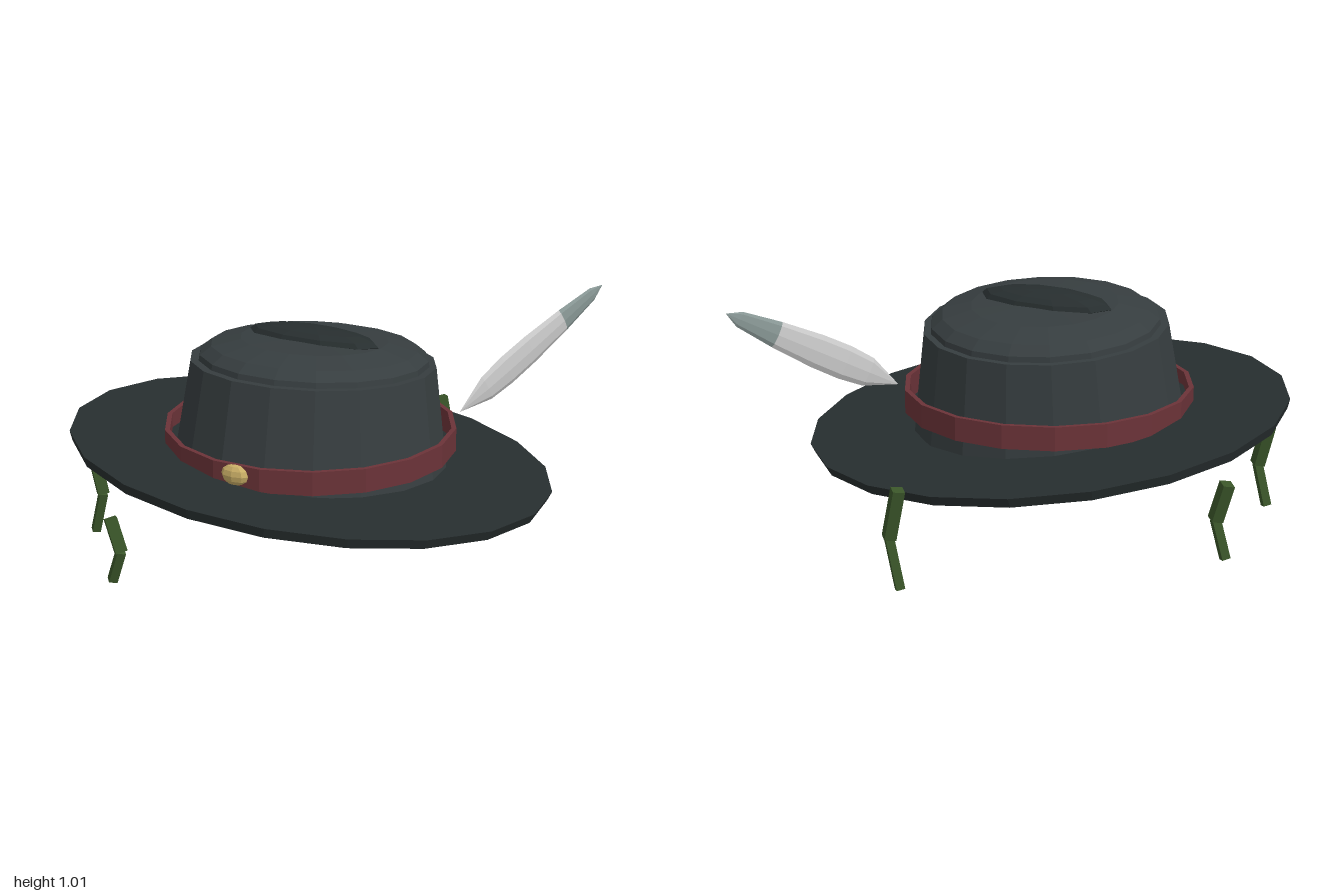
import * as THREE from 'three';

const V = (x, y, z) => new THREE.Vector3(x, y, z);
const paint = (color, side = THREE.FrontSide) =>
  new THREE.MeshStandardMaterial({ color, side, flatShading: true });
const profile = (points) => points.map(([r, y]) => new THREE.Vector2(r, y));

export function createModel() {
  const model = new THREE.Group();
  const felt = paint(0x363d3f);
  const darkFelt = paint(0x272e2f);
  const red = paint(0x6b3338, THREE.DoubleSide);
  const green = paint(0x3a5529);
  const gold = paint(0xc9ae66);
  const white = paint(0xd8d8d4, THREE.DoubleSide);
  const grey = paint(0x8a9997, THREE.DoubleSide);

  function add(name, geometry, material, parent = model) {
    const mesh = new THREE.Mesh(geometry, material);
    mesh.name = name;
    parent.add(mesh);
    return mesh;
  }

  // Tilted oval brim
  const brim = add('brim', new THREE.CylinderGeometry(1, 0.985, 0.04, 20), darkFelt);
  brim.scale.z = 0.95;
  brim.position.set(0, 0.435, 0.04);
  brim.rotation.set(-0.07, 0, -0.09);

  // Crown leaning slightly back, with its domed lid and top crease
  const crown = new THREE.Group();
  crown.name = 'crown';
  crown.position.set(0, 0.425, 0.045);
  crown.rotation.x = -0.07;
  model.add(crown);
  const wall = new THREE.CylinderGeometry(0.5, 0.56, 0.41, 18, 1, false, Math.PI / 2);
  wall.translate(0, 0.205, 0);
  add('crownWall', wall, felt, crown);
  const lid = new THREE.LatheGeometry(profile(
    [[0, 0], [0.47, 0], [0.465, 0.025], [0.42, 0.06], [0.3, 0.09], [0, 0.1]]), 18, Math.PI / 2);
  lid.translate(0, 0.407, -0.005);
  add('crownLid', lid, felt, crown);
  const crease = add('crownCrease', new THREE.SphereGeometry(1, 10, 8), darkFelt, crown);
  crease.scale.set(0.295, 0.05, 0.115);
  crease.position.set(0, 0.5, 0.005);

  // Level ribbon standing clear of the crown
  const ribbon = add('hatBand', new THREE.LatheGeometry(profile(
    [[0.575, 0.482], [0.595, 0.482], [0.595, 0.578], [0.575, 0.578], [0.575, 0.482]]),
    18, Math.PI / 2), red);
  ribbon.position.z = 0.04;

  // Gold stud on the front of the ribbon
  const stud = add('stud', new THREE.SphereGeometry(1, 8, 6), gold);
  stud.scale.set(0.06, 0.042, 0.028);
  stud.position.set(0, 0.541, 0.635);

  // Feather: a flattened blade with a darker tip, standing in a vertical plane
  const feather = new THREE.Group();
  feather.name = 'feather';
  const along = V(0.335, 0.42, -0.675).normalize();
  const normal = along.clone().cross(V(0, 1, 0)).normalize();
  const across = along.clone().cross(normal);
  feather.quaternion.setFromRotationMatrix(new THREE.Matrix4().makeBasis(across, along, normal));
  feather.position.set(0.5, 0.59, -0.32);
  model.add(feather);
  const blade = [[0, 0], [0.06, 0.16], [0.07, 0.28], [0.068, 0.42], [0.053, 0.62]];
  const tip = [[0.053, 0.62], [0.031, 0.8], [0, 0.865]];
  for (const [name, points, material] of [['featherBlade', blade, white], ['featherTip', tip, grey]]) {
    const geometry = new THREE.LatheGeometry(profile(points), 8, Math.PI / 2);
    geometry.scale(1, 1, 0.24);
    add(name, geometry, material, feather);
  }

  // Hanging vines: two jointed four-sided stems each
  function stem(name, from, to, radius, parent) {
    const dir = to.clone().sub(from);
    const mesh = add(name, new THREE.CylinderGeometry(radius, radius, dir.length(), 4), green, parent);
    mesh.position.copy(from).add(to).multiplyScalar(0.5);
    mesh.quaternion.setFromUnitVectors(V(0, 1, 0), dir.normalize());
  }
  const vines = [[-0.947, -0.315, 0.105], [-0.83, 0.4, 0.06], [-0.353, 0.967, 0.153], [0.117, -0.95, 0.008]];
  for (const [x, z, bottom] of vines) {
    const vine = new THREE.Group();
    vine.name = 'vine';
    model.add(vine);
    const knee = V(x + 0.044, (0.41 + bottom) / 2, z);
    stem('upperStem', knee, V(x, 0.41, z), 0.033, vine);
    stem('lowerStem', V(x, bottom, z), knee, 0.024, vine);
  }

  return model;
}
